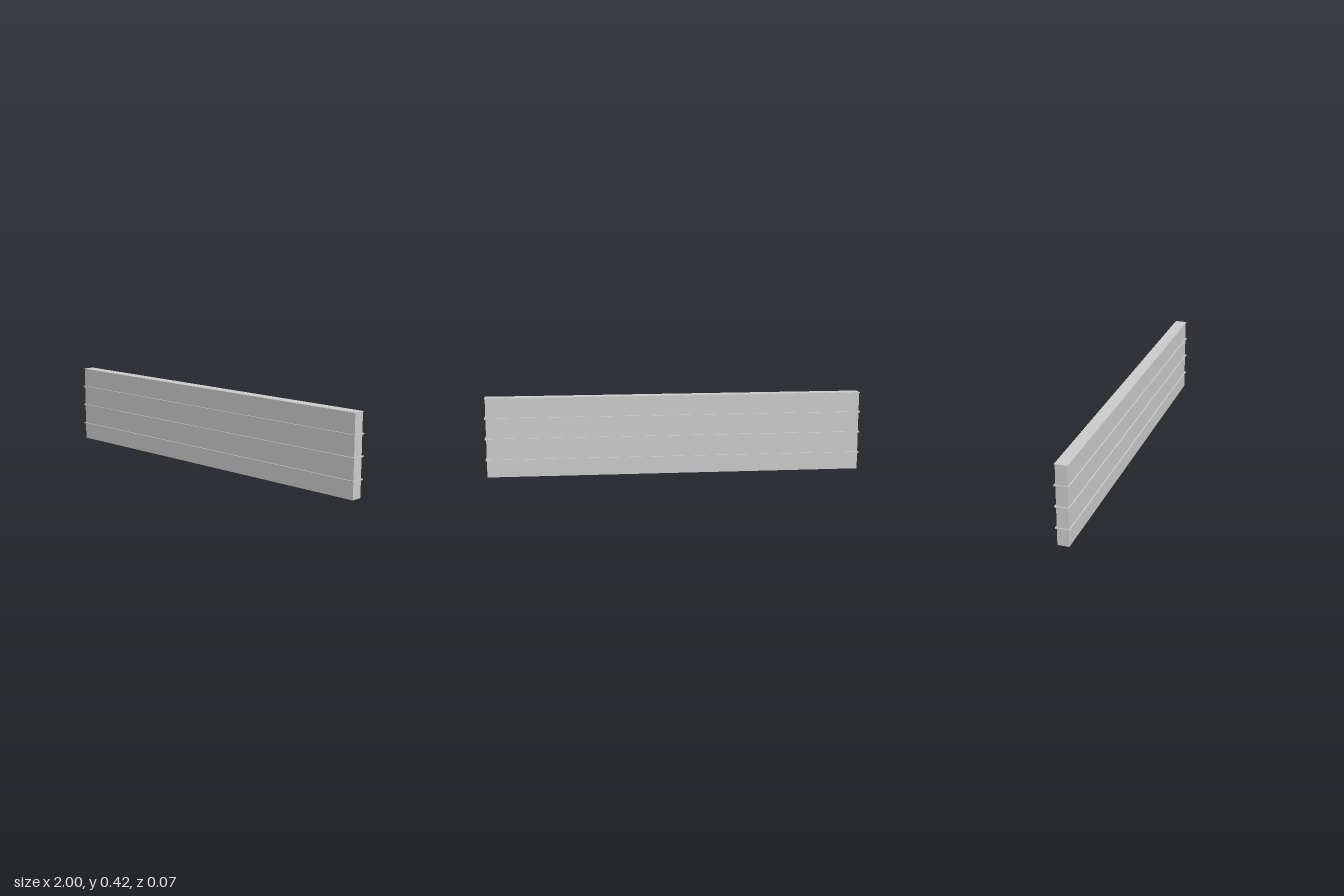
import * as THREE from 'three';

export function createModel() {
  const group = new THREE.Group();
  const material = new THREE.MeshStandardMaterial({ color: 0xcccccc, flatShading: true });

  // Adds a centred box standing between two heights
  const addSlab = (name, width, depth, bottom, top) => {
    const mesh = new THREE.Mesh(new THREE.BoxGeometry(width, top - bottom, depth), material);
    mesh.name = name;
    mesh.position.y = (bottom + top) / 2;
    group.add(mesh);
  };

  // Wall body
  addSlab('wallPanel', 1.986, 0.059, 0, 0.42);

  // Thin bands running all the way round
  [0.091, 0.203, 0.3125].forEach((y, i) => {
    addSlab(`band${i + 1}`, 2, 0.073, y - 0.003, y + 0.003);
  });

  // Slim lip just under the top edge
  addSlab('topLip', 1.993, 0.066, 0.417, 0.4195);

  return group;
}
